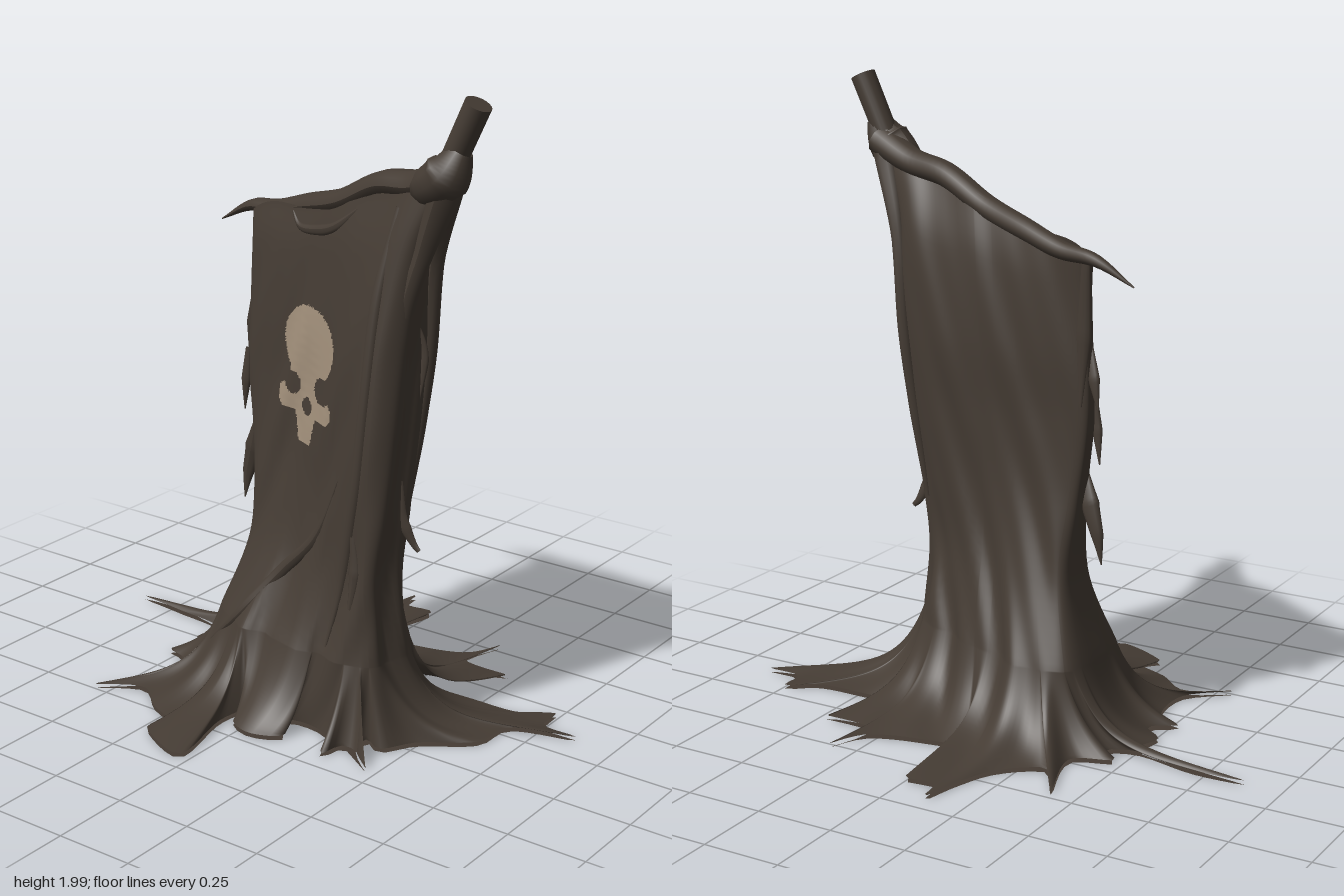
import * as THREE from 'three';

const clothMat = new THREE.MeshStandardMaterial({ color: 0x453c34, side: THREE.DoubleSide });
clothMat.name = 'dark cloth';
const boneMat = new THREE.MeshStandardMaterial({ color: 0xa2907b, side: THREE.DoubleSide });
boneMat.name = 'faded bone paint';

// Wedge-shaped cloth sections from top to knee:
// xL, yL, xR, yR, then depth z at front left, front right, back left, back right
const SECTIONS = [
  [-0.31, 1.51, 0.58, 1.78, -0.02, 0.23, -0.07, 0.17],
  [-0.29, 1.41, 0.48, 1.55, 0.02, 0.28, -0.06, 0.05],
  [-0.29, 1.20, 0.43, 1.25, 0.04, 0.33, -0.06, 0.00],
  [-0.29, 1.00, 0.41, 0.97, 0.05, 0.35, -0.06, 0.01],
  [-0.26, 0.75, 0.39, 0.72, 0.08, 0.35, -0.08, 0.03],
  [-0.25, 0.50, 0.37, 0.50, 0.14, 0.33, -0.15, 0.05],
  [-0.32, 0.26, 0.40, 0.26, 0.25, 0.34, -0.26, 0.02],
];
const splines = SECTIONS[0].map((_, k) =>
  new THREE.SplineCurve(SECTIONS.map((s, i) => new THREE.Vector2(i, s[k]))));

// Ragged hem on the ground, as x, z pairs: left, back, right, front
const HEM = [
  [-0.88, -0.13], [-0.72, -0.14], [-0.5, -0.1], [-0.42, -0.14], [-0.48, -0.19], [-0.36, -0.25],
  [-0.42, -0.48], [-0.33, -0.35], [-0.28, -0.37], [-0.2, -0.45], [-0.15, -0.58], [-0.12, -0.7],
  [-0.1, -0.61], [0, -0.61], [-0.04, -0.35], [0.1, -0.35], [0.28, -0.41], [0.34, -0.53],
  [0.3, -0.36], [0.48, -0.34], [0.3, -0.3], [0.2, -0.25], [0.25, -0.15], [0.5, -0.13],
  [0.65, -0.14], [0.74, -0.2], [0.75, -0.11], [0.87, -0.1], [0.67, -0.03], [0.65, 0.1],
  [0.5, 0.22], [0.43, 0.32], [0.37, 0.29], [0.37, 0.35], [0.48, 0.45], [0.38, 0.37],
  [0.33, 0.37], [0.31, 0.45], [0.25, 0.34], [0.12, 0.32], [0.08, 0.35], [0.15, 0.42],
  [0.05, 0.47], [-0.04, 0.43], [-0.05, 0.34], [-0.07, 0.45], [-0.03, 0.7], [-0.2, 0.64],
  [-0.23, 0.61], [-0.18, 0.56], [-0.3, 0.5], [-0.41, 0.42], [-0.56, 0.5], [-0.43, 0.37],
  [-0.45, 0.18], [-0.53, 0.15], [-0.45, 0.09], [-0.52, 0.02], [-0.5, -0.07], [-0.72, -0.11],
];
const HEM_Y = 0.022;

const power = (v, p) => Math.sign(v) * Math.pow(Math.abs(v), p);
const mix = THREE.MathUtils.lerp;

// Point on the hanging cloth: t runs down from 0 to 1, a goes round
function clothPoint(t, a) {
  const [xL, yL, xR, yR, fL, fR, bL, bR] = splines.map(s => s.getPoint(t).y);
  const c = Math.cos(a), s = Math.sin(a);
  const u = 0.5 + 0.5 * power(c, 0.65);
  const x = mix(xL, xR, u);
  const y = mix(yL, yR, u) + 0.015 * Math.sin(u * 15) * (1 - t) ** 3;
  // The front sags inward between its edges
  const sag = 0.05 * Math.max(s, 0) * Math.sin(Math.PI * u) * Math.sin(Math.PI * t);
  const z = mix(mix(bL, bR, u), mix(fL, fR, u), 0.5 + 0.5 * power(s, 0.55)) - sag;
  // Slanting folds, deeper toward the ground, and upright pleats on the right side
  const fold = Math.sin(30 * x - 9 * y + 2 * Math.sin(3 * y)) + 0.5 * Math.sin(53 * x - 20 * y);
  const amp = 0.002 + 0.01 * t * t;
  const pleat = 0.012 * Math.max(c, 0) * Math.sin(45 * z + 4 * y) * Math.min(1, 4 * t);
  return new THREE.Vector3(x + pleat, y, z + s * amp * fold);
}

const hemCurve = new THREE.CatmullRomCurve3(HEM.map(([x, z]) => new THREE.Vector3(x, HEM_Y, z)), true);

function drapedCloth() {
  const N = 300, BODY = 46, FLARE = 24;
  const hem = hemCurve.getSpacedPoints(N).slice(0, N);

  // Match each hem point with a steadily growing angle round the body
  const raw = hem.map(p => Math.atan2(p.z - 0.09, p.x - 0.03));
  const start = raw[0];
  let run = start, high = start;
  const angles = raw.map((a, k) => {
    if (k) {
      const d = a - raw[k - 1];
      run += Math.atan2(Math.sin(d), Math.cos(d));
    }
    high = Math.min(Math.max(high, run), start + Math.PI * 2);
    return 0.8 * high + 0.2 * (start + Math.PI * 2 * k / N);
  });

  const pos = [], index = [];
  for (let i = 0; i <= BODY + FLARE; i++) {
    for (let j = 0; j < N; j++) {
      const p = clothPoint(Math.min(i / BODY, 1), angles[j]);
      if (i > BODY) {
        // Falls steeply near the body, then lies flat out to the torn ends
        const v = Math.pow((i - BODY) / FLARE, 1.5), y0 = p.y;
        const reach = Math.hypot(hem[j].x - p.x, hem[j].z - p.z) + 0.01;
        const end = Math.exp(-reach / 0.09);
        p.lerp(hem[j], v);
        p.y = HEM_Y + (y0 - HEM_Y) * (Math.exp(-reach * v / 0.09) - end) / (1 - end)
          + 0.06 * v * (1 - v) * Math.sin(9 * angles[j]) ** 2;
      }
      pos.push(p.x, p.y, p.z);
      if (i) {
        const n = (j + 1) % N, a = (i - 1) * N + j, b = (i - 1) * N + n;
        index.push(a, b, i * N + j, b, i * N + n, i * N + j);
      }
    }
  }
  const g = new THREE.BufferGeometry();
  g.setAttribute('position', new THREE.Float32BufferAttribute(pos, 3));
  g.setIndex(index);
  g.computeVertexNormals();
  return g;
}

// Tapered tube through points, with a radius per point and a z flattening
function strand(points, radii, flat = 1) {
  const curve = new THREE.CatmullRomCurve3(points.map(p => new THREE.Vector3(...p)));
  const n = points.length * 6, sides = 10;
  const g = new THREE.TubeGeometry(curve, n, 1, sides);
  const P = g.attributes.position, v = new THREE.Vector3();
  for (let i = 0; i <= n; i++) {
    const c = curve.getPointAt(i / n);
    const f = i / n * (radii.length - 1), k = Math.min(Math.floor(f), radii.length - 2);
    const r = mix(radii[k], radii[k + 1], f - k);
    for (let j = 0; j <= sides; j++) {
      const id = i * (sides + 1) + j;
      v.fromBufferAttribute(P, id).sub(c).multiplyScalar(r);
      P.setXYZ(id, c.x + v.x, c.y + v.y, c.z + v.z * flat);
    }
  }
  g.computeVertexNormals();
  return g;
}

// Painted skull silhouette with eye and nose gaps
const inEllipse = (x, y, cx, cy, rx, ry) => ((x - cx) / rx) ** 2 + ((y - cy) / ry) ** 2 < 1;
function inSkull(x, y) {
  const nose = inEllipse(x, y, 0.032, 0.978, 0.026, 0.028);
  const gap = nose || inEllipse(x, y, -0.04, 1.037, 0.037, 0.036) || inEllipse(x, y, 0.113, 1.047, 0.043, 0.042);
  const jaw = y > 0.865 && y < 0.96 && Math.abs(x - 0.026) < 0.032 + (y - 0.865) * 0.27;
  const bone = jaw || inEllipse(x, y, 0.04, 1.175, 0.127, 0.118)
    || (Math.abs(x - 0.035) < 0.085 && y > 0.985 && y < 1.12)
    || inEllipse(x, y, -0.07, 0.99, 0.04, 0.04) || inEllipse(x, y, 0.128, 0.99, 0.04, 0.04)
    || (Math.abs(x - 0.03) < 0.1 && y > 0.953 && y < 1.0);
  return bone && !gap;
}

export function createModel() {
  const model = new THREE.Group();
  const add = (name, geometry, material = clothMat) => {
    const m = new THREE.Mesh(geometry, material);
    m.name = name;
    model.add(m);
    return m;
  };
  const cloth = add('drapedCloth', drapedCloth());

  // Underside of the cloth spread on the ground
  const outline = new THREE.Shape(hemCurve.getSpacedPoints(200).map(p => new THREE.Vector2(p.x, p.z)));
  add('groundSheet', new THREE.ShapeGeometry(outline).rotateX(Math.PI / 2).translate(0, 0.008, 0));

  // Depth of the cloth front at x, y
  const ray = new THREE.Raycaster();
  const frontZ = (x, y) => {
    ray.set(new THREE.Vector3(x, y, 2), new THREE.Vector3(0, 0, -1));
    const hit = ray.intersectObject(cloth)[0];
    return hit ? hit.point.z : 0.15;
  };

  // Skull paint laid on the cloth
  const nx = 36, ny = 56, w = 0.28, h = 0.45;
  const skull = new THREE.PlaneGeometry(w, h, nx, ny).translate(0.035, 1.08, 0);
  const P = skull.attributes.position, old = skull.index.array, kept = [];
  for (let i = 0; i < P.count; i++) P.setZ(i, frontZ(P.getX(i), P.getY(i)) + 0.005);
  for (let i = 0; i < old.length; i += 3) {
    const tri = [old[i], old[i + 1], old[i + 2]];
    const x = tri.reduce((s, k) => s + P.getX(k), 0) / 3;
    const y = tri.reduce((s, k) => s + P.getY(k), 0) / 3;
    if (inSkull(x, y)) kept.push(...tri);
  }
  skull.setIndex(kept);
  skull.computeVertexNormals();
  add('paintedSkull', skull, boneMat);

  // Pole tip and the knot of cloth round it
  const low = new THREE.Vector3(0.53, 1.72, 0.19), top = new THREE.Vector3(0.657, 1.984, 0.195);
  const dir = top.clone().sub(low);
  const pole = add('poleTip', new THREE.CylinderGeometry(0.04, 0.038, dir.length(), 20));
  pole.position.copy(low).add(top).multiplyScalar(0.5);
  pole.quaternion.setFromUnitVectors(new THREE.Vector3(0, 1, 0), dir.normalize());
  add('knot', strand([[0.42, 1.7, 0.15], [0.52, 1.745, 0.2], [0.57, 1.78, 0.205], [0.605, 1.85, 0.195]],
    [0.02, 0.055, 0.072, 0.036]));

  // Rolled upper edge ending in a pointed corner
  add('rolledEdge', strand([[-0.46, 1.45, -0.07], [-0.33, 1.515, -0.06], [-0.2, 1.53, -0.03], [-0.06, 1.57, 0.01],
    [0.12, 1.62, 0.07], [0.29, 1.7, 0.11], [0.44, 1.725, 0.15], [0.58, 1.78, 0.19]],
  [0.002, 0.02, 0.03, 0.034, 0.036, 0.038, 0.042, 0.05], 1.3));

  // Raised folds running over the front
  const ridge = (name, pts, radii) =>
    add(name, strand(pts.map(([x, y]) => [x, y, frontZ(x, y) - 0.003]), radii, 0.7));
  ridge('neckFold', [[-0.09, 1.55], [-0.05, 1.515], [0.04, 1.52], [0.13, 1.55], [0.22, 1.62]],
    [0.005, 0.015, 0.018, 0.015, 0.004]);
  ridge('rightFold', [[0.4, 1.66], [0.36, 1.4], [0.34, 1.1], [0.31, 0.8], [0.25, 0.5], [0.21, 0.28]],
    [0.01, 0.02, 0.018, 0.02, 0.018, 0.004]);
  ridge('slantFold', [[0.24, 0.85], [0.12, 0.6], [-0.02, 0.45], [-0.16, 0.28], [-0.28, 0.16]],
    [0.002, 0.015, 0.02, 0.02, 0.004]);
  ridge('frontTatter', [[0.3, 0.66], [0.31, 0.55], [0.3, 0.43]], [0.01, 0.022, 0.008]);

  // Twisted strips hanging from the knot along the right side
  add('hangingStrip', strand([[0.57, 1.76, 0.2], [0.495, 1.56, 0.2], [0.425, 1.34, 0.2], [0.405, 1.1, 0.19], [0.38, 0.8, 0.19]],
    [0.05, 0.028, 0.025, 0.022, 0.01]));
  add('hangingStrip', strand([[0.56, 1.75, 0.17], [0.46, 1.5, 0.09], [0.42, 1.2, 0.06], [0.39, 0.95, 0.07], [0.35, 0.66, 0.08]],
    [0.04, 0.025, 0.024, 0.022, 0.01]));

  // Torn tatters along the edges
  const tatters = [
    [[[-0.25, 0.84, 0.03], [-0.28, 0.74, 0.01], [-0.31, 0.65, 0], [-0.325, 0.56, 0]], [0.012, 0.032, 0.022, 0.002]],
    [[[-0.28, 1.24, 0], [-0.305, 1.14, -0.02], [-0.325, 1.05, -0.03]], [0.01, 0.02, 0.002]],
    [[[-0.28, 1.08, 0.03], [-0.29, 0.98, 0.03], [-0.305, 0.87, 0.02]], [0.01, 0.018, 0.002]],
    [[[-0.29, 1.5, -0.05], [-0.28, 1.3, -0.04], [-0.27, 1.06, -0.04]], [0.015, 0.025, 0.004]],
    [[[0.38, 0.82, 0.15], [0.385, 0.7, 0.14], [0.42, 0.62, 0.13], [0.44, 0.6, 0.13]], [0.012, 0.018, 0.02, 0.008]],
    [[[0.41, 1.32, 0.12], [0.43, 1.22, 0.1], [0.41, 1.05, 0.1]], [0.004, 0.014, 0.004]],
  ];
  for (const [pts, radii] of tatters) add('tatter', strand(pts, radii, 0.5));

  return model;
}
